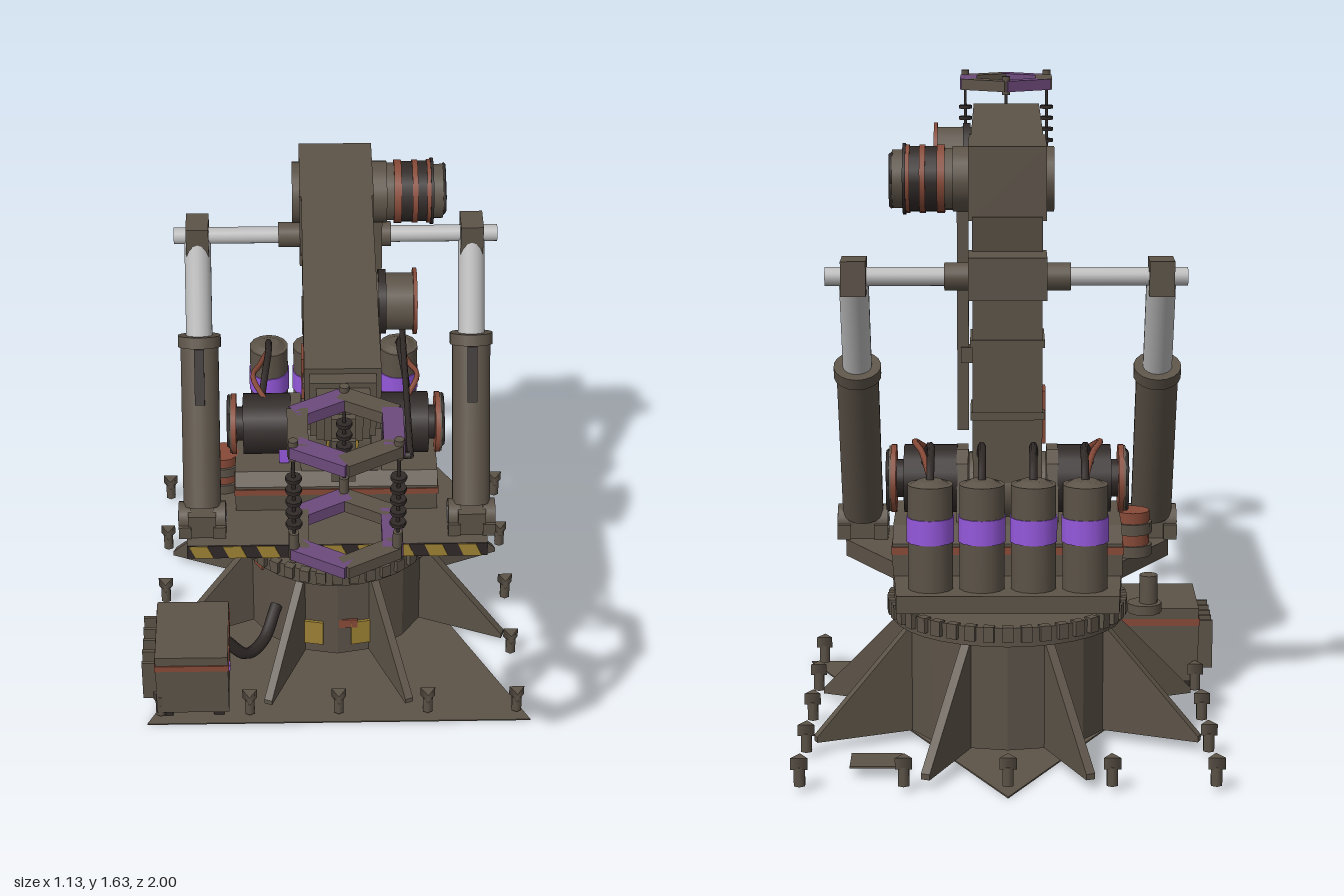
import * as THREE from 'three';

const V = (x, y, z) => new THREE.Vector3(x, y, z);
const paint = (name, color) => Object.assign(new THREE.MeshStandardMaterial({ color }), { name });

export function createModel() {
  const root = new THREE.Group();
  root.name = 'industrialArm';
  const iron = paint('brown iron', 0x5c5348), dark = paint('dark rubber', 0x302a28);
  const rust = paint('rust red', 0x874a38), yellow = paint('worn yellow', 0x9c8134);
  const violet = paint('bright violet', 0x9558dc), mauve = paint('dull mauve', 0x6d4a7c);
  const steel = paint('pale steel', 0xbcbcbc);
  const C = -0.435; // z of the slewing axis

  const add = (name, geo, mat, x = 0, y = 0, z = 0) => {
    const m = new THREE.Mesh(geo, mat);
    m.name = name;
    m.position.set(x, y, z);
    root.add(m);
    return m;
  };
  // Box from its limits
  const box = (name, mat, x0, x1, y0, y1, z0, z1) => add(name,
    new THREE.BoxGeometry(x1 - x0, y1 - y0, z1 - z0), mat, (x0 + x1) / 2, (y0 + y1) / 2, (z0 + z1) / 2);
  // Cylinder between two points
  const rod = (name, mat, a, b, r, sides = 16, r2 = r) => {
    const m = add(name, new THREE.CylinderGeometry(r2, r, a.distanceTo(b), sides), mat);
    m.position.copy(a).lerp(b, 0.5);
    m.quaternion.setFromUnitVectors(V(0, 1, 0), b.clone().sub(a).normalize());
    return m;
  };
  const facet = (m) => {
    m.geometry = m.geometry.toNonIndexed();
    m.geometry.computeVertexNormals();
    return m;
  };
  const tube = (name, mat, pts, r) =>
    add(name, new THREE.TubeGeometry(new THREE.CatmullRomCurve3(pts), 20, r, 6), mat);
  const plate = (pts, depth) => new THREE.ExtrudeGeometry(
    new THREE.Shape(pts.map(p => new THREE.Vector2(...p))), { depth, bevelEnabled: false });
  // Side profile in (z, y), centred across x
  const profile = (name, mat, pts, w, x = 0) =>
    add(name, plate(pts, w).translate(0, 0, -w / 2).rotateY(-Math.PI / 2), mat, x);
  // Loose dark wires wound over the end of a motor
  const wires = (x, y, r) => {
    for (let i = 0; i < 5; i++) {
      const a = i * 2.1;
      const w = add('motorWire', new THREE.TorusGeometry(r * 0.62, 0.006, 4, 7), dark,
        x, y + Math.sin(a) * r * 0.3, C + Math.cos(a) * r * 0.3);
      w.rotation.set(a, Math.PI / 2, 0);
    }
  };

  // Floor plate, loose shard and anchor bolts
  add('floorPlate', plate([[-0.56, -0.12], [0.56, -0.12], [0, 1]], 0.004).rotateX(-Math.PI / 2), iron, 0, 0.005);
  box('floorShard', iron, 0.27, 0.4, 0.03, 0.036, -0.85, -0.75);
  for (let i = 0; i < 5; i++) for (let j = 0; j < 5; j++) {
    if (i % 4 && j % 4) continue;
    const x = (i - 2) * 0.26, z = C + 0.005 + (j - 2) * 0.257;
    rod('anchorBolt', iron, V(x, 0.02, z), V(x, 0.07, z), 0.016, 6);
    rod('anchorHead', iron, V(x, 0.065, z), V(x, 0.095, z), 0.025, 3);
  }

  // Pedestal, fins and toothed flange
  facet(rod('pedestal', iron, V(0, 0.03, C), V(0, 0.32, C), 0.278, 16));
  for (let i = 0; i < 8; i++) {
    const fin = add('pedestalFin', plate([[0.25, 0.03], [0.54, 0.03], [0.54, 0.045], [0.285, 0.31], [0.25, 0.31]], 0.024)
      .translate(0, 0, -0.012), iron, 0, 0, C);
    fin.rotation.y = (i + 0.5) * Math.PI / 4;
  }
  rod('flange', iron, V(0, 0.315, C), V(0, 0.365, C), 0.305, 32);
  for (let i = 0; i < 40; i++) {
    const a = i / 40 * Math.PI * 2;
    const t = box('gearTooth', iron, -0.014, 0.014, 0.33, 0.37, -0.012, 0.012);
    t.position.set(Math.sin(a) * 0.305, 0.35, C + Math.cos(a) * 0.305);
    t.rotation.y = a;
  }
  for (const s of [-1, 1]) {
    const p = box('warningPlate', yellow, -0.029, 0.029, 0.065, 0.15, -0.004, 0.004);
    p.position.set(s * 0.07, 0.107, C + 0.268);
    p.rotation.y = s * 0.19;
  }
  box('rustPatch', rust, 0.005, 0.06, 0.13, 0.16, C + 0.27, C + 0.277);
  const patch = box('rustPatch', rust, -0.02, 0.02, 0.27, 0.3, -0.004, 0.004);
  patch.position.set(-0.23, 0.285, C + 0.153);
  patch.rotation.y = -0.98;
  rod('slewBearing', iron, V(0, 0.398, C), V(0, 0.402, C), 0.18, 24);
  rod('slewMotorShaft', iron, V(-0.37, 0.36, -0.5), V(-0.37, 0.44, -0.5), 0.024, 12);
  rod('slewPinion', iron, V(-0.36, 0.34, -0.5), V(-0.36, 0.365, -0.5), 0.045, 12);

  // Control box
  box('controlBox', iron, -0.53, -0.32, 0.035, 0.245, -0.15, 0.1);
  box('controlBoxStripe', rust, -0.533, -0.317, 0.195, 0.215, -0.153, 0.103);
  for (let i = 0; i < 5; i++)
    box('ventLouvre', iron, -0.57, -0.53, 0.07, 0.205, -0.135 + i * 0.05, -0.125 + i * 0.05);
  for (const x of [-0.5, -0.35]) for (const z of [-0.12, 0.07])
    box('boxFoot', dark, x - 0.015, x + 0.015, 0.01, 0.035, z - 0.015, z + 0.015);
  box('violetLamp', violet, -0.32, -0.315, 0.15, 0.17, 0.03, 0.05);
  tube('boxCable', dark, [V(-0.33, 0.18, -0.05), V(-0.27, 0.11, -0.07), V(-0.22, 0.11, -0.13), V(-0.18, 0.17, -0.22)], 0.018);

  // Turntable deck with hazard strip
  const deck = [[-0.435, 0.13], [0.435, 0.13], [0.435, 0.27], [0.3, 0.5], [0.28, 0.83],
    [-0.28, 0.83], [-0.3, 0.5], [-0.435, 0.27]];
  add('deck', plate(deck, 0.045).rotateX(-Math.PI / 2), iron, 0, 0.43);
  box('hazardStrip', dark, -0.435, 0.435, 0.43, 0.475, -0.13, -0.125);
  for (let i = 0; i < 9; i++)
    add('hazardStripe', plate([[0, 0.001], [0.052, 0.001], [0.034, 0.044], [-0.018, 0.044]], 0.003), yellow,
      -0.41 + i * 0.097, 0.43, -0.126);

  // Shoulder base
  profile('shoulderBase', iron, [[-0.29, 0.475], [-0.29, 0.56], [-0.32, 0.595], [-0.58, 0.595], [-0.64, 0.56], [-0.64, 0.475]], 0.59);
  box('shoulderStripe', rust, -0.298, 0.298, 0.532, 0.552, -0.643, -0.287);

  // Shoulder knuckle and drum motors
  rod('shoulderKnuckle', iron, V(-0.1, 0.665, C), V(0.1, 0.665, C), 0.09, 24);
  for (const s of [-1, 1]) {
    profile('shoulderCheek', iron, [[-0.32, 0.59], [-0.36, 0.74], [-0.4, 0.77], [-0.47, 0.77], [-0.51, 0.74], [-0.55, 0.59]], 0.03, s * 0.117);
    rod('shoulderDrum', dark, V(s * 0.13, 0.685, C), V(s * 0.27, 0.685, C), 0.09, 16);
    rod('drumShaft', dark, V(s * 0.26, 0.685, C), V(s * 0.3, 0.685, C), 0.05);
    rod('drumFlange', rust, V(s * 0.29, 0.685, C), V(s * 0.304, 0.685, C), 0.09);
    rod('drumCap', iron, V(s * 0.303, 0.685, C), V(s * 0.309, 0.685, C), 0.087);
    wires(s * 0.311, 0.685, 0.09);
    box('drumLight', violet, s * 0.152 - 0.014, s * 0.152 + 0.014, 0.6, 0.655, C + 0.05, C + 0.082);
    tube('drumHose', rust, [V(s * 0.2, 0.76, C), V(s * 0.24, 0.8, C - 0.07), V(s * 0.22, 0.79, C - 0.15), V(s * 0.195, 0.75, -0.72)], 0.008);
  }

  // Upright column
  profile('upright', iron, [[-0.52, 0.66], [-0.38, 0.66], [-0.38, 0.85], [-0.355, 1.2], [-0.28, 1.35], [-0.28, 1.39],
    [-0.54, 1.39], [-0.525, 1.3]], 0.18);
  for (const y of [0.86, 1.05])
    box('uprightBand', iron, -0.096, 0.096, y, y + 0.02, -0.526, -0.362);
  box('uprightHatch', rust, -0.099, -0.09, 0.79, 0.93, -0.49, -0.41);
  box('uprightConduit', iron, 0.1, 0.13, 0.82, 1.4, -0.46, -0.43);
  box('conduitClip', iron, 0.08, 0.12, 1.0, 1.04, -0.47, -0.42);

  // Crossbar and clamp
  rod('crossbar', steel, V(-0.457, 1.245, -0.58), V(0.463, 1.245, -0.58), 0.024);
  box('crossbarClamp', iron, -0.1, 0.1, 1.19, 1.3, -0.63, -0.5);
  for (const s of [-1, 1]) {
    rod('clampCollar', iron, V(s * 0.1, 1.245, -0.58), V(s * 0.16, 1.245, -0.58), 0.036);
    // Hydraulic lift cylinder
    const low = V(s * 0.39, 0.515, -0.215), high = V(s * 0.39, 1.245, -0.58);
    const at = t => low.clone().lerp(high, t);
    rod('cylinderBarrel', iron, at(0.04), at(0.63), 0.055, 18);
    rod('barrelCollar', iron, at(0.61), at(0.65), 0.062, 18);
    rod('pistonRod', steel, at(0.63), at(1), 0.038, 18);
    box('rodEye', iron, s * 0.39 - 0.032, s * 0.39 + 0.032, 1.2, 1.29, -0.625, -0.535);
    const strip = box('barrelStrip', dark, -0.014, 0.014, -0.08, 0.08, -0.004, 0.004);
    strip.position.copy(at(0.51)).add(V(0, 0.025, 0.05));
    strip.rotation.x = -Math.atan2(0.365, 0.73);
    box('clevisBlock', iron, s * 0.39 - 0.04, s * 0.39 + 0.04, 0.475, 0.55, -0.26, -0.165);
    for (const d of [-0.05, 0.05]) {
      box('clevisFoot', iron, s * 0.39 + d - 0.018, s * 0.39 + d + 0.018, 0.475, 0.515, -0.275, -0.16);
      rod('clevisLug', iron, V(s * 0.39 + d - 0.018, 0.515, -0.215), V(s * 0.39 + d + 0.018, 0.515, -0.215), 0.045);
    }
    rod('clevisPin', steel, V(s * 0.39 - 0.07, 0.515, -0.215), V(s * 0.39 + 0.07, 0.515, -0.215), 0.024, 6);
  }

  // Gas tanks and hoses
  for (let i = 0; i < 4; i++) {
    const x = (i - 1.5) * 0.13;
    rod('tank', iron, V(x, 0.46, -0.745), V(x, 0.745, -0.745), 0.058, 14);
    rod('tankBand', violet, V(x, 0.598, -0.745), V(x, 0.662, -0.745), 0.061, 14);
    rod('tankCap', iron, V(x, 0.745, -0.745), V(x, 0.755, -0.745), 0.05, 12, 0.03);
    tube('tankHose', dark, [V(x, 0.75, -0.745), V(x, 0.79, -0.7), V(x, 0.81, -0.62), V(x * 1.05, 0.79, -0.54), V(x * 1.1, 0.74, -0.5)], 0.01);
  }
  for (let i = 0; i < 4; i++)
    rod('valveStack', i % 2 ? rust : iron, V(-0.33, 0.475 + i * 0.03, -0.42), V(-0.33, 0.505 + i * 0.03, -0.42), i % 2 ? 0.045 : 0.052, 12);

  // Elbow and its motor
  box('elbowHead', iron, -0.1, 0.1, 1.38, 1.57, -0.535, -0.26);
  rod('elbowCap', iron, V(-0.12, 1.475, C), V(0.14, 1.475, C), 0.085, 20);
  const motor = [[0.13, 0.16, 0.08, iron], [0.16, 0.18, 0.088, rust], [0.18, 0.21, 0.084, dark], [0.21, 0.225, 0.088, rust],
    [0.225, 0.25, 0.084, dark], [0.25, 0.26, 0.088, rust], [0.26, 0.268, 0.092, dark], [0.268, 0.295, 0.075, iron]];
  for (const [a, b, r, mat] of motor) rod('elbowMotor', mat, V(a, 1.475, C), V(b, 1.475, C), r);
  wires(0.297, 1.475, 0.08);

  // Forearm with stepped nose
  box('forearm', iron, -0.095, 0.095, 1.385, 1.57, -0.27, 0.51);
  [[0.54, 0.095, 1.385, 1.57], [0.58, 0.082, 1.395, 1.555], [0.615, 0.066, 1.41, 1.54], [0.64, 0.048, 1.425, 1.525], [0.66, 0.03, 1.445, 1.505]]
    .forEach(([z, w, y0, y1]) => box('forearmNose', iron, -w, w, y0, y1, 0.5, z));
  rod('cableReel', iron, V(0.09, 1.475, 0.105), V(0.19, 1.475, 0.105), 0.075);
  rod('reelFace', rust, V(0.19, 1.475, 0.105), V(0.2, 1.475, 0.105), 0.087, 12);
  rod('reelHub', dark, V(0.1, 1.475, 0.105), V(0.12, 1.475, 0.105), 0.085);
  rod('reelConduit', dark, V(0.165, 1.385, 0.04), V(0.165, 1.378, 0.645), 0.008, 8);
  rod('conduitElbow', dark, V(0.165, 1.378, 0.64), V(0.03, 1.378, 0.64), 0.009, 8);

  // Lower forearm cylinder
  rod('forearmCylinder', yellow, V(0, 1.325, -0.3), V(0, 1.325, 0.52), 0.041);
  box('cylinderRail', iron, -0.043, 0.043, 1.344, 1.368, -0.3, 0.52);
  rod('cylinderStep', iron, V(0, 1.325, 0.52), V(0, 1.325, 0.57), 0.034);
  rod('cylinderRod', iron, V(0, 1.325, 0.57), V(0, 1.325, 0.65), 0.02);
  box('cylinderLug', iron, -0.03, 0.03, 1.305, 1.43, 0.63, 0.65);
  box('cylinderMount', rust, -0.045, 0.045, 1.35, 1.385, -0.31, -0.26);

  // Gripper cage: two six-sided rings joined by beaded struts
  const G = 0.845;
  for (const y of [1.3, 1.605]) for (let i = 0; i < 6; i++) {
    const a = (i + 0.5) * Math.PI / 3;
    const seg = box('gripperRing', i % 2 ? mauve : iron, -0.074, 0.074, -0.016, 0.016, -0.025, 0.025);
    seg.position.set(Math.sin(a) * 0.113, y, G + Math.cos(a) * 0.113);
    seg.rotation.y = a;
  }
  for (let i = 0; i < 3; i++) {
    const a = Math.PI + i * Math.PI * 2 / 3, x = Math.sin(a) * 0.143, z = G + Math.cos(a) * 0.143;
    rod('gripperStrut', dark, V(x, 1.27, z), V(x, 1.63, z), 0.005, 6);
    for (const [y0, y1] of [[1.275, 1.36], [1.58, 1.635]]) rod('strutEnd', iron, V(x, y0, z), V(x, y1, z), 0.012, 8);
    for (let k = 0; k < 5; k++)
      rod('strutBead', dark, V(x, 1.382 + k * 0.034, z), V(x, 1.392 + k * 0.034, z), 0.02, 8);
  }
  return root;
}
